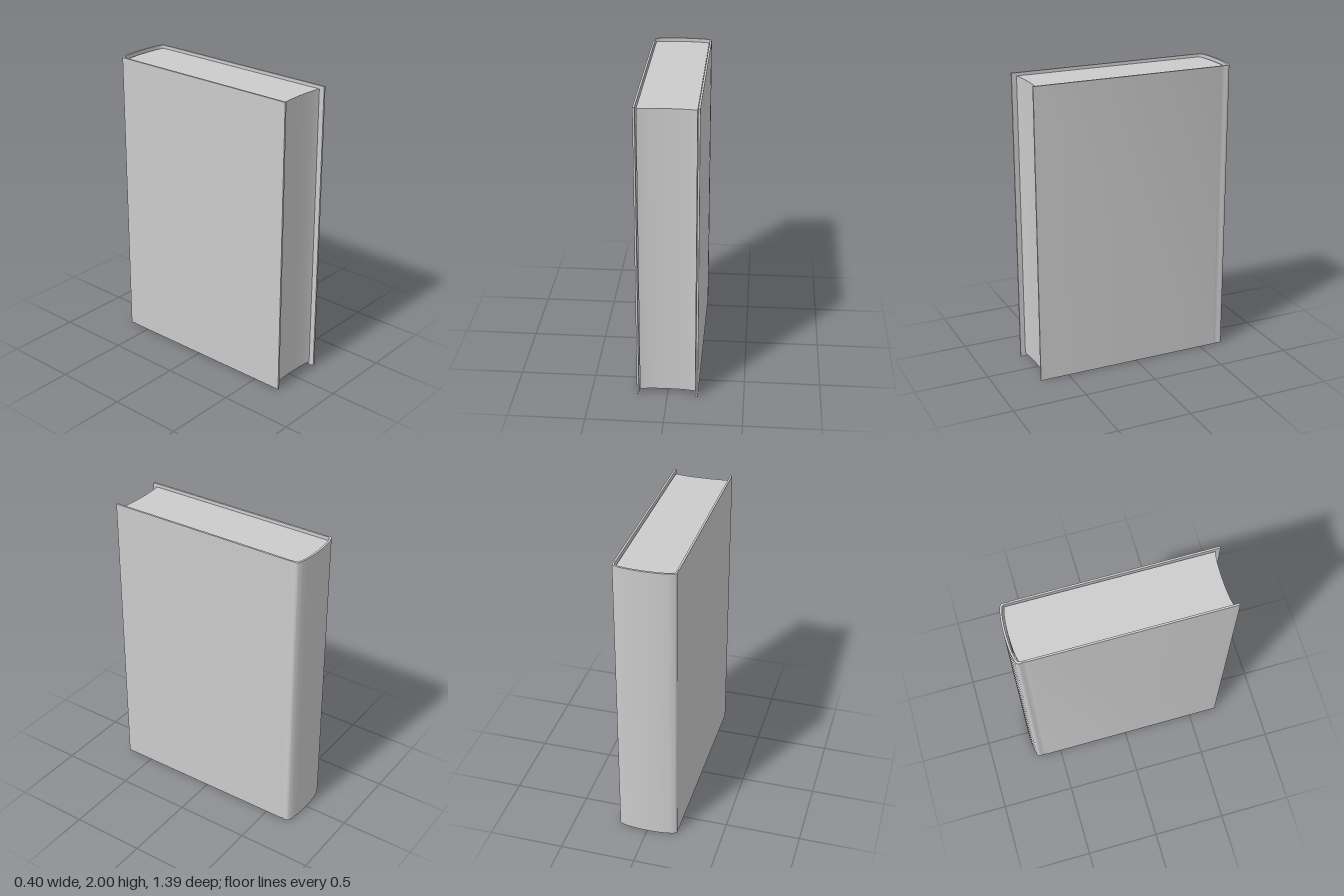
import * as THREE from 'three';
import { toCreasedNormals } from 'three/addons/utils/BufferGeometryUtils.js';

const material = new THREE.MeshStandardMaterial({ color: 0xcccccc, side: THREE.DoubleSide });

// Extrudes a plan outline (shape y points to the back, -z) upwards from y0 to y1.
function extrudeUp(name, shape, y0, y1) {
  const flat = new THREE.ExtrudeGeometry(shape, { depth: y1 - y0, bevelEnabled: false, curveSegments: 12 });
  flat.rotateX(-Math.PI / 2).translate(0, y0, 0);
  const mesh = new THREE.Mesh(toCreasedNormals(flat, 0.6), material);
  mesh.name = name;
  return mesh;
}

// One continuous cover: two boards, hinge grooves and a rounded spine.
function coverShape() {
  const s = new THREE.Shape();
  s.moveTo(0.2, -0.697);
  s.lineTo(0.2, 0.605);
  s.quadraticCurveTo(0.194, 0.625, 0.199, 0.645);
  s.bezierCurveTo(0.201, 0.66, 0.2, 0.668, 0.18, 0.677);
  s.bezierCurveTo(0.1, 0.704, -0.1, 0.704, -0.18, 0.677);
  s.bezierCurveTo(-0.2, 0.668, -0.201, 0.66, -0.199, 0.645);
  s.quadraticCurveTo(-0.194, 0.625, -0.2, 0.605);
  s.lineTo(-0.2, -0.697);
  s.lineTo(-0.187, -0.697);
  s.lineTo(-0.187, 0.645);
  s.quadraticCurveTo(-0.187, 0.66, -0.17, 0.666);
  s.bezierCurveTo(-0.1, 0.689, 0.1, 0.689, 0.17, 0.666);
  s.quadraticCurveTo(0.187, 0.66, 0.187, 0.645);
  s.lineTo(0.187, -0.697);
  return s;
}

// Page block: convex at the spine, concave at the fore edge.
function pagesShape() {
  const s = new THREE.Shape();
  s.moveTo(0.182, -0.665);
  s.lineTo(0.182, 0.652);
  s.bezierCurveTo(0.12, 0.679, -0.12, 0.679, -0.182, 0.652);
  s.lineTo(-0.182, -0.665);
  s.bezierCurveTo(-0.12, -0.645, 0.12, -0.645, 0.182, -0.665);
  return s;
}

export function createModel() {
  const book = new THREE.Group();
  book.name = 'book';
  book.add(extrudeUp('cover', coverShape(), 0, 2));
  book.add(extrudeUp('pages', pagesShape(), 0.02, 1.98));
  return book;
}
